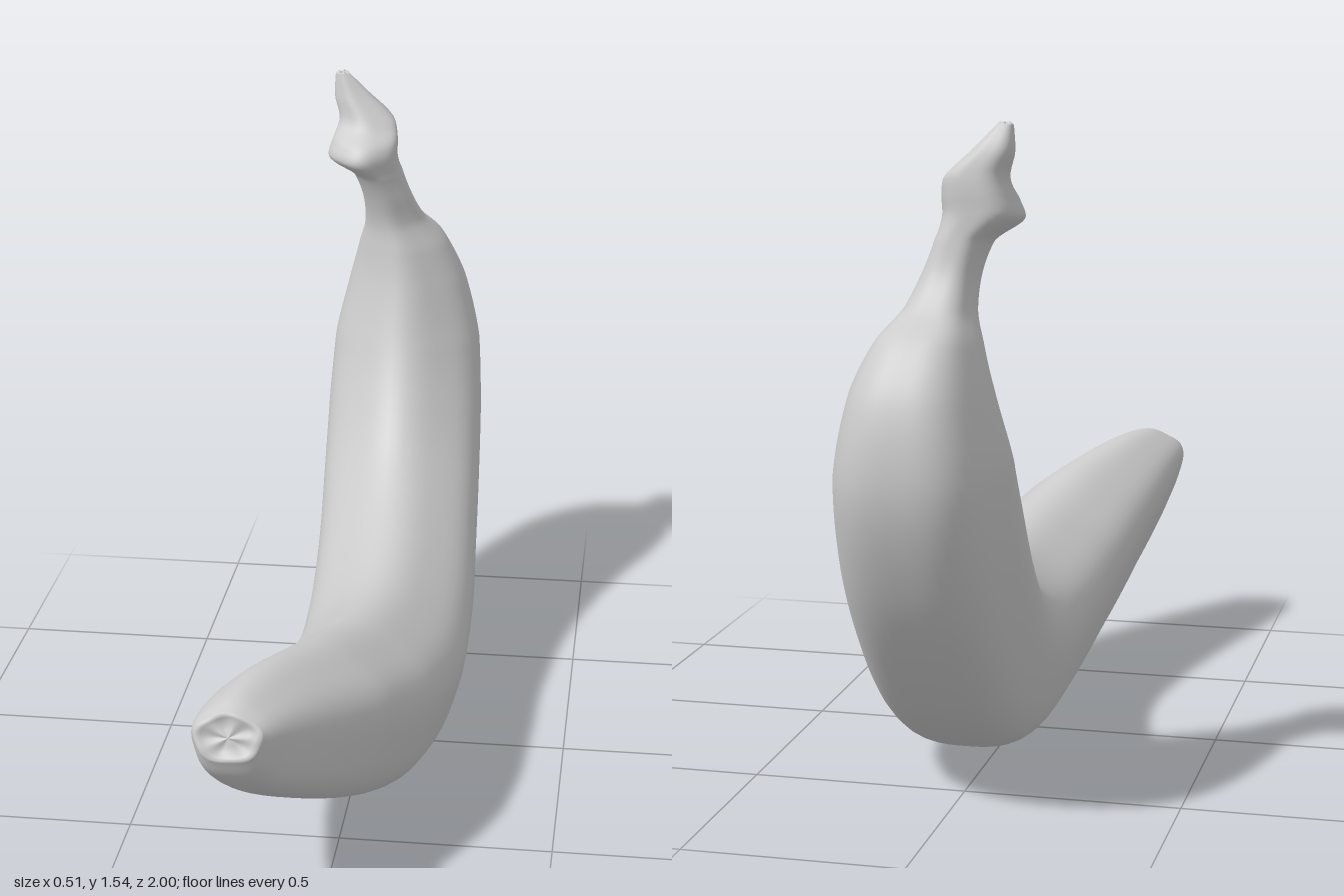
import * as THREE from 'three';

// Stations from blossom tip to stem: inner z, inner y, outer z, outer y, min x, max x
const STATIONS = [
  [0.96, 0.568, 0.997, 0.465, -0.245, -0.095],
  [0.92, 0.583, 0.975, 0.42, -0.255, -0.07],
  [0.78, 0.587, 0.9, 0.345, -0.25, 0],
  [0.56, 0.548, 0.66, 0.2, -0.215, 0.13],
  [0.33, 0.493, 0.38, 0.08, -0.18, 0.21],
  [0.05, 0.463, 0, 0.004, -0.16, 0.25],
  [-0.13, 0.49, -0.29, 0.04, -0.163, 0.25],
  [-0.28, 0.547, -0.557, 0.17, -0.17, 0.24],
  [-0.4, 0.63, -0.77, 0.367, -0.178, 0.232],
  [-0.49, 0.735, -0.915, 0.57, -0.18, 0.225],
  [-0.557, 0.85, -0.994, 0.79, -0.172, 0.212],
  [-0.61, 0.99, -0.975, 0.98, -0.135, 0.17],
  [-0.632, 1.08, -0.905, 1.095, -0.108, 0.12],
  [-0.643, 1.15, -0.825, 1.16, -0.09, 0.065],
  [-0.627, 1.225, -0.78, 1.225, -0.093, 0.035],
  [-0.605, 1.285, -0.763, 1.3, -0.115, 0.012],
  [-0.575, 1.33, -0.76, 1.36, -0.178, 0],
  [-0.587, 1.362, -0.76, 1.4, -0.168, 0],
  [-0.64, 1.41, -0.757, 1.435, -0.155, -0.01],
  [-0.677, 1.48, -0.745, 1.49, -0.168, -0.075],
  [-0.7, 1.538, -0.722, 1.54, -0.166, -0.13],
];
const SIDES = 60, ROWS = 160;

// Softly five-sided section, one ridge on the inner curve, scaled to -1..1
const raw = Array.from({ length: SIDES }, (_, j) => {
  const a = (j / SIDES) * Math.PI * 2, r = 1 + 0.035 * Math.cos(5 * a);
  return [r * Math.sin(a), r * Math.cos(a)];
});
const us = raw.map(p => p[0]), vs = raw.map(p => p[1]);
const norm = (v, list) => {
  const lo = Math.min(...list), hi = Math.max(...list);
  return (2 * (v - lo)) / (hi - lo) - 1;
};
const SECTION = raw.map(([u, v]) => [norm(u, us), norm(v, vs)]);

const curve = f => new THREE.CatmullRomCurve3(STATIONS.map(f));
const inner = curve(s => new THREE.Vector3(0, s[1], s[0]));
const outer = curve(s => new THREE.Vector3(0, s[3], s[2]));
const width = curve(s => new THREE.Vector3(s[4], s[5], 0));

// One closed ring of points across the fruit
function ringAt(t) {
  const a = inner.getPoint(t), b = outer.getPoint(t), w = width.getPoint(t);
  const half = (w.y - w.x) / 2, mid = (w.x + w.y) / 2;
  return SECTION.map(([u, v]) => {
    const p = b.clone().lerp(a, (v + 1) / 2);
    p.x = mid + half * u;
    return p;
  });
}

// Skin a list of rings
function loft(rings, name) {
  const pos = [], index = [];
  rings.forEach(ring => ring.forEach(p => pos.push(p.x, p.y, p.z)));
  for (let i = 0; i < rings.length - 1; i++) {
    for (let j = 0; j < SIDES; j++) {
      const k = (j + 1) % SIDES, r = i * SIDES, n = r + SIDES;
      index.push(r + j, r + k, n + j, r + k, n + k, n + j);
    }
  }
  const g = new THREE.BufferGeometry();
  g.setAttribute('position', new THREE.Float32BufferAttribute(pos, 3));
  g.setIndex(index);
  g.computeVertexNormals();
  const mesh = new THREE.Mesh(g, new THREE.MeshStandardMaterial({ color: 0xcccccc }));
  mesh.name = name;
  return mesh;
}

// Rings shrinking to the middle of an end; each step is [scale, push along dir]
function capRings(rim, steps, dir) {
  const c = rim.reduce((s, p) => s.add(p), new THREE.Vector3()).divideScalar(SIDES);
  return steps.map(([scale, push]) =>
    rim.map((p, j) => {
      const bump = 0.003 * Math.sin(j * 0.52) * scale * (1 - scale) * 4;
      return c.clone().lerp(p, scale).addScaledVector(dir, push + bump);
    }));
}

export function createModel() {
  const group = new THREE.Group();
  group.name = 'banana';

  // Peel, running on into the flared stem
  const rings = Array.from({ length: ROWS + 1 }, (_, i) => ringAt(i / ROWS));
  group.add(loft(rings, 'peelAndStem'));

  // Round scar at the blossom tip, slightly sunken inside a soft lip
  const tipDir = new THREE.Vector3(0, 0.37, 0.93);
  const scar = [[0, -0.002], [0.3, -0.004], [0.6, -0.006], [0.8, 0.002], [0.92, 0.004], [1, 0]];
  group.add(loft(capRings(rings[0], scar, tipDir), 'tipScar'));

  // Torn top of the stem
  const cut = [[1, 0], [0.7, 0.004], [0.3, 0.003], [0, 0.002]];
  group.add(loft(capRings(rings[ROWS], cut, new THREE.Vector3(0, 1, 0)), 'stemCut'));

  return group;
}
